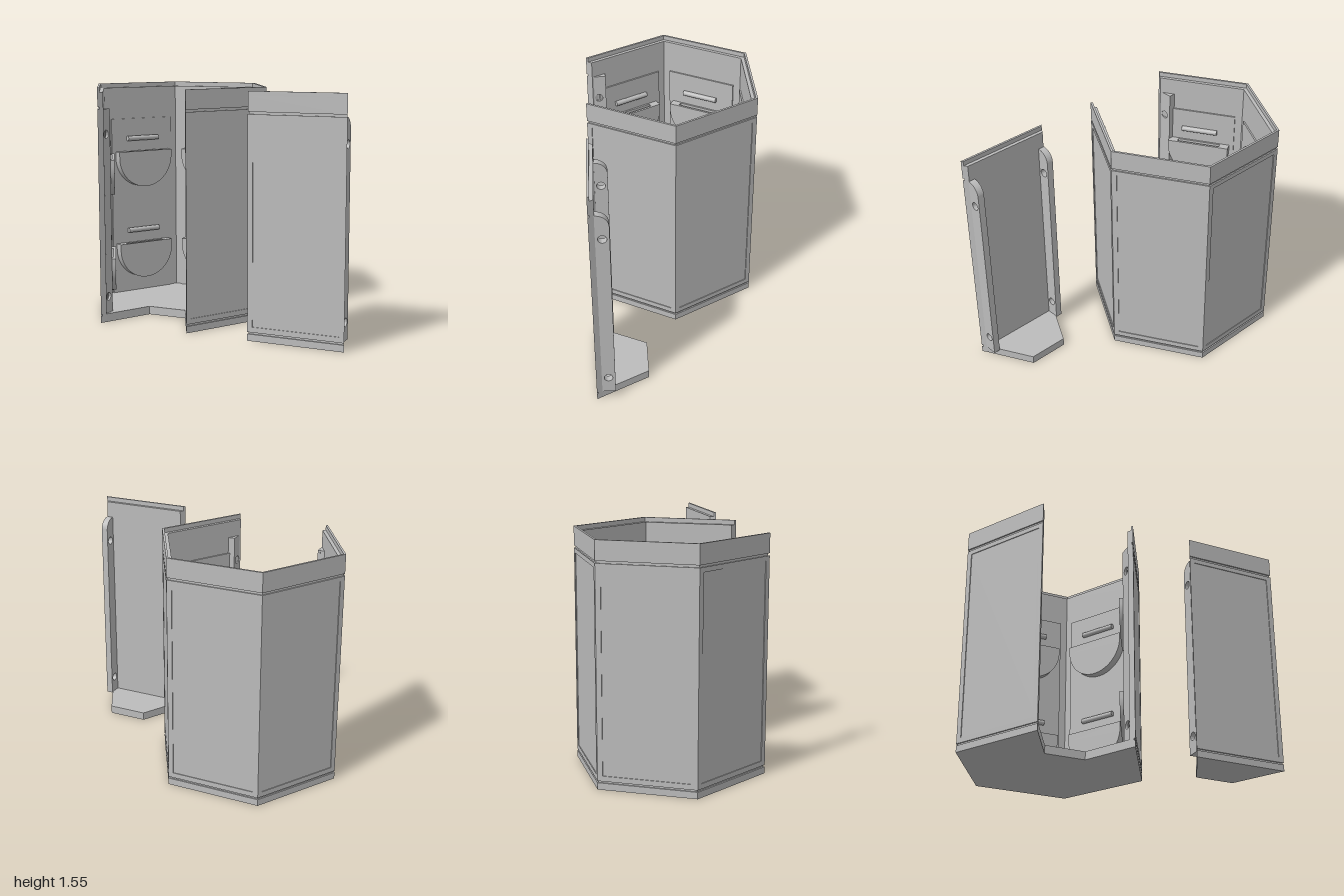
import * as THREE from 'three';
import { toCreasedNormals } from 'three/addons/utils/BufferGeometryUtils.js';

const grey = new THREE.MeshStandardMaterial({ color: 0xbcbcbc });
grey.name = 'light grey';
const T = Math.tan(Math.PI / 6);

function add(parent, name, geometry) {
  const mesh = new THREE.Mesh(geometry, grey);
  mesh.name = name;
  parent.add(mesh);
  return mesh;
}

// Upright prism from an outline of [x, z] points
function prism(points, y0, y1) {
  const shape = new THREE.Shape(points.map(([x, z]) => new THREE.Vector2(x, -z)));
  const g = new THREE.ExtrudeGeometry(shape, { depth: y1 - y0, bevelEnabled: false });
  return g.rotateX(-Math.PI / 2).translate(0, y0, 0);
}

// Mitred slab of one hexagon side, between two distances from the centre
const slab = (r0, r1, y0, y1) =>
  prism([[-r0 * T, r0], [r0 * T, r0], [r1 * T, r1], [-r1 * T, r1]], y0, y1);

// One side facing +z: grooves at top and bottom, recessed face, stepped rim
function wall(parent) {
  const inner = 0.51, outer = 0.547, recess = 0.542;
  add(parent, 'wallFoot', slab(inner, outer, 0, 0.044));
  add(parent, 'lowerGroove', slab(inner, 0.538, 0.044, 0.056));
  add(parent, 'wallCore', slab(inner, recess, 0.056, 1.41));
  add(parent, 'frameBottom', slab(recess, outer, 0.056, 0.09));
  add(parent, 'frameTop', slab(recess, outer, 1.38, 1.41));
  for (const s of [-1, 1]) {
    add(parent, 'frameSide', prism([
      [s * 0.282, recess], [s * recess * T, recess],
      [s * outer * T, outer], [s * 0.282, outer]], 0.09, 1.38));
  }
  add(parent, 'upperGroove', slab(inner, 0.538, 1.41, 1.425));
  add(parent, 'wallHead', slab(inner, outer, 1.425, 1.52));
  add(parent, 'rim', slab(0.533, outer, 1.52, 1.55));
}

// Rounded pocket outline, optionally hollowed to a U
function pocketLayer(slot, z0, z1) {
  const w = 0.215, d = -0.04;
  const s = new THREE.Shape();
  s.moveTo(-w, 0);
  s.lineTo(-w, d);
  s.absarc(0, d, w, Math.PI, 2 * Math.PI, false);
  s.lineTo(w, 0);
  if (slot) {
    s.lineTo(slot, 0);
    s.lineTo(slot, d);
    s.absarc(0, d, slot, 2 * Math.PI, Math.PI, true);
    s.lineTo(-slot, 0);
  }
  const g = new THREE.ExtrudeGeometry(s, { depth: z1 - z0, bevelEnabled: false, curveSegments: 32 });
  return toCreasedNormals(g.translate(0, 0, z0), 0.5);
}

// Backing panel with two slotted pockets and two bars
function fittings(parent) {
  add(parent, 'backingPanel', new THREE.BoxGeometry(0.49, 1.25, 0.014).translate(0, 0.675, 0.507));
  for (const top of [0.41, 1.07]) {
    const pocket = new THREE.Group();
    pocket.name = 'pocket';
    pocket.position.y = top;
    add(pocket, 'pocketFront', pocketLayer(0, 0.445, 0.46));
    add(pocket, 'pocketSlot', pocketLayer(0.15, 0.46, 0.487));
    add(pocket, 'pocketBack', pocketLayer(0, 0.487, 0.502));
    parent.add(pocket);
    const bar = add(parent, 'bar', new THREE.CylinderGeometry(0.0175, 0.0175, 0.25, 24));
    bar.rotation.z = Math.PI / 2;
    bar.position.set(0, top + 0.09, 0.487);
  }
}

// Vertical strip in the z-y plane with two screw holes
function strip(z0, z1, x0, x1, radius) {
  const y0 = 0.05, y1 = 1.41;
  const s = new THREE.Shape();
  s.moveTo(z0, y0);
  s.lineTo(z1, y0);
  s.lineTo(z1, y1);
  if (radius) {
    s.lineTo(z0 + radius, y1);
    s.absarc(z0 + radius, y1 - radius, radius, Math.PI / 2, Math.PI, false);
  } else s.lineTo(z0, y1);
  for (const y of [0.165, 1.245]) {
    const hole = new THREE.Path();
    hole.absarc(0.47, y, 0.027, 0, Math.PI * 2, true);
    s.holes.push(hole);
  }
  const g = new THREE.ExtrudeGeometry(s, { depth: x1 - x0, bevelEnabled: false, curveSegments: 20 });
  return toCreasedNormals(g.rotateY(-Math.PI / 2).translate(x1, 0, 0), 0.5);
}

export function createModel() {
  const model = new THREE.Group();
  model.name = 'hexagonalCabinet';

  // Hexagonal body, open at the front and top
  const body = new THREE.Group();
  body.name = 'cabinetBody';
  body.position.x = -0.368;
  for (let i = 1; i < 6; i++) {
    const side = new THREE.Group();
    side.name = 'side' + i;
    side.rotation.y = i * Math.PI / 3;
    wall(side);
    fittings(side);
    body.add(side);
  }

  // Floor with a notch that receives the door base
  const R = 0.512 / Math.cos(Math.PI / 6);
  add(body, 'floor', prism([
    [R / 2, 0.512], [R, 0], [R / 2, -0.512], [-R / 2, -0.512], [-R, 0], [-R / 2, 0.512],
    [-0.135, 0.21], [0.135, 0.21]], 0, 0.055));

  // Screw posts beside the opening
  for (const s of [-1, 1]) {
    add(body, 'screwPost', s > 0 ? strip(0.42, 0.505, 0.3, 0.317, 0) : strip(0.42, 0.505, -0.317, -0.3, 0));
    add(body, 'postBacking', prism([
      [s * 0.316, 0.421], [s * 0.348, 0.421], [s * 0.316, 0.476]], 0.05, 1.409));
  }
  model.add(body);

  // Detached door with base and side flanges
  const door = new THREE.Group();
  door.name = 'door';
  door.position.x = 0.684;
  wall(door);
  add(door, 'doorBase', prism([
    [-0.295, 0.512], [-0.135, 0.21], [0.135, 0.21], [0.295, 0.512]], 0, 0.055));
  add(door, 'leftFlange', strip(0.427, 0.512, 0.253, 0.298, 0.08));
  add(door, 'rightFlange', strip(0.427, 0.512, -0.298, -0.253, 0.08));
  model.add(door);

  return model;
}
